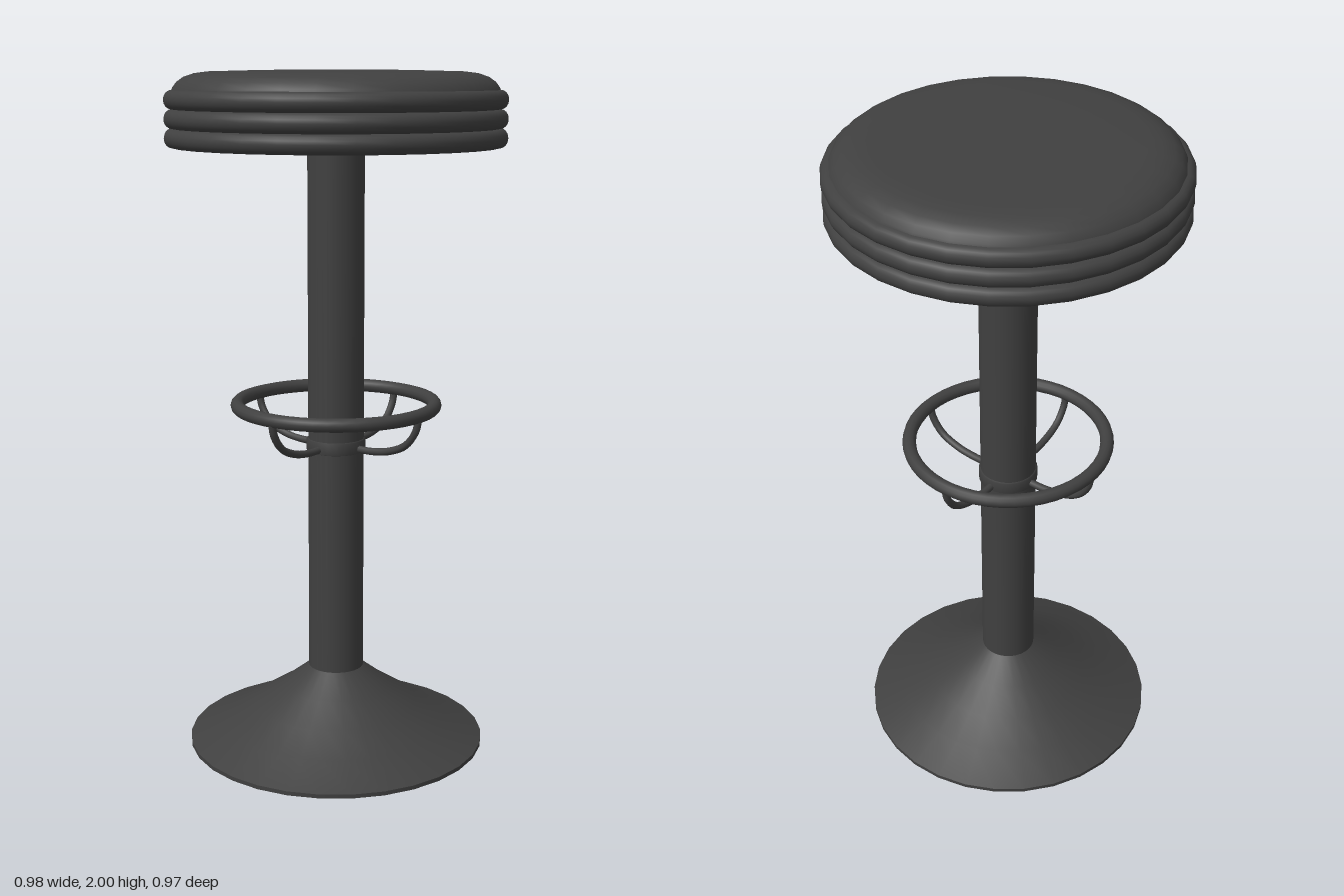
import * as THREE from 'three';

const SIDES = 30;

export function createModel() {
  const stool = new THREE.Group();
  stool.name = 'barStool';
  const material = new THREE.MeshStandardMaterial({ color: 0x404040 });

  const add = (name, geometry, parent = stool) => {
    const mesh = new THREE.Mesh(geometry, material);
    mesh.name = name;
    parent.add(mesh);
    return mesh;
  };
  // Revolve a profile of [radius, height] pairs, listed so the outside faces out
  const turn = (name, profile, parent) => add(name, new THREE.LatheGeometry(
    profile.map(([r, y]) => new THREE.Vector2(r, y)), SIDES, Math.PI / 2), parent);

  // Flared base with a flat underside
  const base = new THREE.Group();
  base.name = 'base';
  stool.add(base);
  turn('baseUnderside', [[0, 0], [0.445, 0]], base);
  turn('baseRim', [[0.445, 0], [0.445, 0.012]], base);
  turn('baseFlare', [[0.445, 0.012], [0.335, 0.06], [0.245, 0.115], [0.16, 0.17], [0.082, 0.23]], base);

  // Column
  turn('column', [[0.082, 0.2], [0.082, 1.79]]);

  // Footrest: ring, collar and four curved struts
  const footrest = new THREE.Group();
  footrest.name = 'footrest';
  stool.add(footrest);
  const ring = add('footrestRing', new THREE.TorusGeometry(0.29, 0.02, 12, 48), footrest);
  ring.rotation.x = Math.PI / 2;
  ring.position.y = 1.04;
  turn('footrestCollar', [[0.08, 0.9], [0.087, 0.903], [0.087, 0.937], [0.08, 0.94]], footrest);
  const strutPath = new THREE.CatmullRomCurve3([
    [0.295, 1.035], [0.285, 0.995], [0.25, 0.95], [0.19, 0.924], [0.13, 0.915], [0.075, 0.915],
  ].map(([x, y]) => new THREE.Vector3(x, y, 0)));
  const strutGeometry = new THREE.TubeGeometry(strutPath, 20, 0.011, 8);
  for (let i = 0; i < 4; i++) {
    add('footrestStrut', strutGeometry, footrest).rotation.y = 0.08 + i * Math.PI / 2;
  }

  // Seat: mounting plate, three padded rolls and a domed cushion
  const seat = new THREE.Group();
  seat.name = 'seat';
  stool.add(seat);
  turn('mountingPlate', [[0, 1.779], [0.143, 1.779], [0.143, 1.79]], seat);
  turn('seatUnderside', [[0, 1.786], [0.463, 1.786]], seat);
  for (let i = 0; i < 3; i++) {
    const roll = [];
    for (let k = 0; k <= 8; k++) {
      const a = (k / 8 - 0.5) * Math.PI;
      roll.push([0.463 + 0.025 * Math.cos(a), 1.812 + i * 0.053 + 0.0265 * Math.sin(a)]);
    }
    turn('seatRoll', roll, seat);
  }
  turn('seatCushion', [[0.466, 1.938], [0.462, 1.95], [0.45, 1.966], [0.43, 1.98],
    [0.4, 1.99], [0.36, 1.995], [0.2, 1.999], [0, 2]], seat);

  return stool;
}
